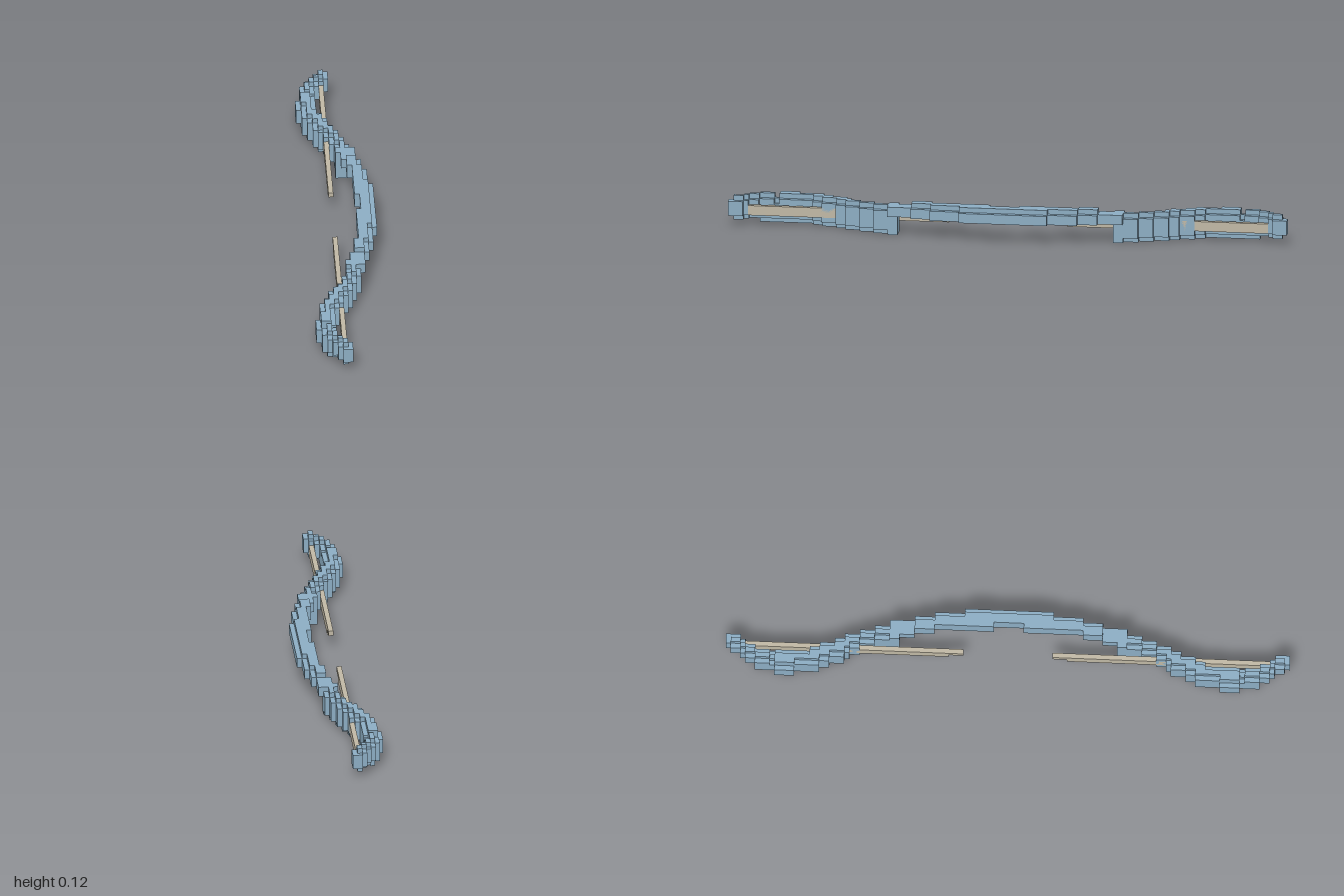
import * as THREE from 'three';

const V = 2 / 114; // edge of one voxel

const blue = new THREE.MeshStandardMaterial({ color: 0x8cadc3 });
blue.name = 'bow blue';
const beige = new THREE.MeshStandardMaterial({ color: 0xc0b8a5 });
beige.name = 'string beige';

// Box between voxel limits
function block(parent, name, mat, x0, x1, y0, y1, z0, z1) {
  if (x1 <= x0) return;
  const mesh = new THREE.Mesh(new THREE.BoxGeometry((x1 - x0) * V, (y1 - y0) * V, (z1 - z0) * V), mat);
  mesh.position.set((x0 + x1) * V / 2, (y0 + y1) * V / 2, (z0 + z1) * V / 2);
  mesh.name = name;
  parent.add(mesh);
}

// Grip steps: distance from the middle start, end, inner x, outer x
const GRIP = [
  [0, 3, 4, 7], [3, 9, 3, 7], [9, 15, 3, 6], [15, 19, 2, 5], [19, 22, 1, 4],
];

// Limb steps: start, end, low x, high x, bottom y, top y
const LIMB = [
  [22, 24, 0, 4, 0, 6], [24, 27, 0, 3, 0, 6], [27, 30, -1, 2, 0, 6],
  [30, 32, -2, 1, 0, 6], [32, 33, -3, 1, 0, 6], [33, 35, -4, 0, 0, 6],
  [35, 36, -4, -1, 0, 6], [36, 38, -5, -1, 0, 6], [38, 40, -6, -2, 0, 6],
  [40, 43, -6, -3, 0, 6], [43, 47, -7, -3, 0, 6], [47, 48, -6, -3, 0, 5],
  [48, 51, -6, -3, 0, 6], [51, 53, -5, -2, 1, 6], [53, 54, -4, -1, 1, 6],
  [54, 56, -3, 0, 1, 6], [56, 57, -2, 0, 2, 5],
];

export function createModel() {
  const model = new THREE.Group();
  model.name = 'bow';

  for (const s of [-1, 1]) {
    const side = s > 0 ? 'front' : 'back';
    const grip = new THREE.Group();
    grip.name = side + 'Grip';
    const limb = new THREE.Group();
    limb.name = side + 'Limb';
    const string = new THREE.Group();
    string.name = side + 'String';
    model.add(grip, limb, string);
    const add = (g, name, mat, x0, x1, y0, y1, a, b) =>
      block(g, name, mat, x0, x1, y0, y1, Math.min(s * a, s * b), Math.max(s * a, s * b));

    // Raised centre, one voxel lower along its outer edge
    for (const [a, b, lo, hi] of GRIP) {
      add(grip, 'gripEdge', blue, hi - 1, hi, 4, 6, a, b);
      add(grip, 'gripCore', blue, lo, hi - 1, 4, a < 19 ? 7 : 6, a, b);
    }

    // Curved limb with stepped edges
    for (const [a, b, lo, hi, y0, y1] of LIMB) {
      if (hi === 4) {
        add(limb, 'limbRoot', blue, lo, 3, y0, y1, a, b);
        add(limb, 'limbRootEdge', blue, 3, 4, 4, 6, a, b);
        continue;
      }
      if (y1 - y0 < 4) {
        add(limb, 'limbTip', blue, lo, hi, y0, y1, a, b);
        continue;
      }
      add(limb, 'limbCore', blue, lo + 1, hi - 1, y0, y1, a, b);
      add(limb, 'limbInnerEdge', blue, hi - 1, hi, y0 + 1, y1 - 1, a, b);
      add(limb, 'limbOuterEdge', blue, lo, lo + 1, y0 + 1, lo === -7 ? 4 : y1 - 1, a, b);
    }

    // Broken string, thinner at its loose end
    add(string, 'stringEnd', beige, -2, -1, 3, 4, 9, 12);
    add(string, 'stringLength', beige, -2, -1, 2, 4, 12, 54);
  }
  return model;
}
